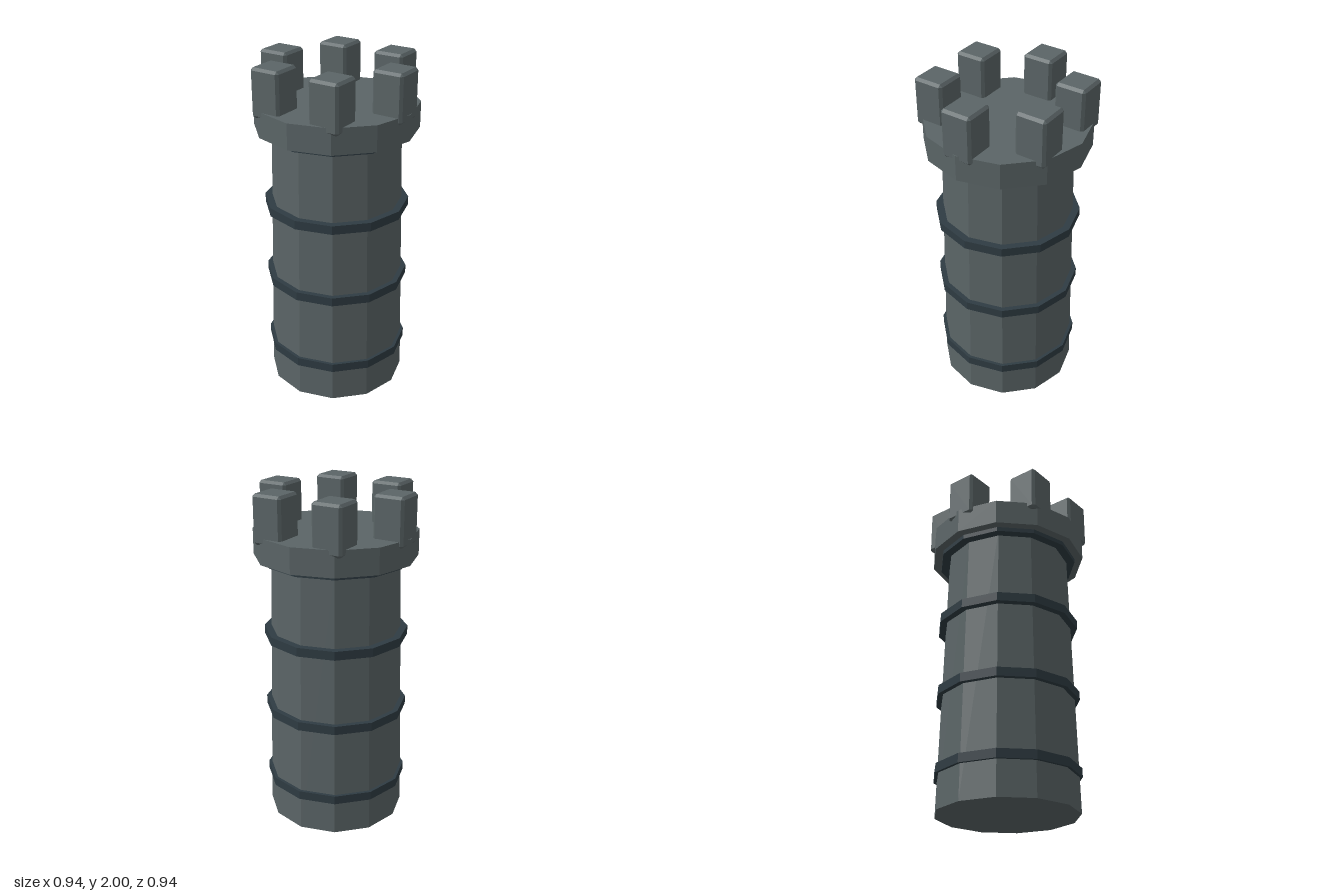
import * as THREE from 'three';
import { ConvexGeometry } from 'three/addons/geometries/ConvexGeometry.js';

const SIDES = 12;

// Box with chamfered edges
function chamferBox(w, h, d, c) {
  const points = [];
  for (const sx of [-1, 1]) for (const sy of [-1, 1]) for (const sz of [-1, 1]) {
    const x = w / 2, y = h / 2, z = d / 2;
    points.push(
      new THREE.Vector3(sx * x, sy * (y - c), sz * (z - c)),
      new THREE.Vector3(sx * (x - c), sy * y, sz * (z - c)),
      new THREE.Vector3(sx * (x - c), sy * (y - c), sz * z));
  }
  return new ConvexGeometry(points);
}

export function createModel() {
  const tower = new THREE.Group();
  tower.name = 'tower';
  const stone = new THREE.MeshStandardMaterial({ color: 0x5b6567, flatShading: true });
  stone.name = 'stone';
  const darkBand = new THREE.MeshStandardMaterial({ color: 0x2f3c43, flatShading: true });
  darkBand.name = 'darkBand';

  // Twelve-sided drum standing between two heights
  function drum(name, rTop, rBottom, y0, y1, material) {
    const mesh = new THREE.Mesh(
      new THREE.CylinderGeometry(rTop, rBottom, y1 - y0, SIDES), material);
    mesh.position.y = (y0 + y1) / 2;
    mesh.name = name;
    tower.add(mesh);
  }

  // Tapered shaft and overhanging platform
  drum('shaft', 0.37, 0.41, 0, 1.62, stone);
  drum('platform', 0.472, 0.472, 1.61, 1.76, stone);

  // Evenly spaced bands, the highest tucked under the platform
  for (let i = 0; i < 4; i++) {
    const y = 0.23 + i * 0.46;
    drum('band' + (i + 1), 0.422, 0.422, y - 0.026, y + 0.026, darkBand);
  }

  // Six square merlons around the rim, all aligned to the axes
  const merlonGeometry = chamferBox(0.184, 0.28, 0.184, 0.015);
  for (let i = 0; i < 6; i++) {
    const a = i * Math.PI / 3;
    const merlon = new THREE.Mesh(merlonGeometry, stone);
    merlon.position.set(0.374 * Math.cos(a), 1.86, 0.374 * Math.sin(a));
    merlon.name = 'merlon' + (i + 1);
    tower.add(merlon);
  }
  return tower;
}
